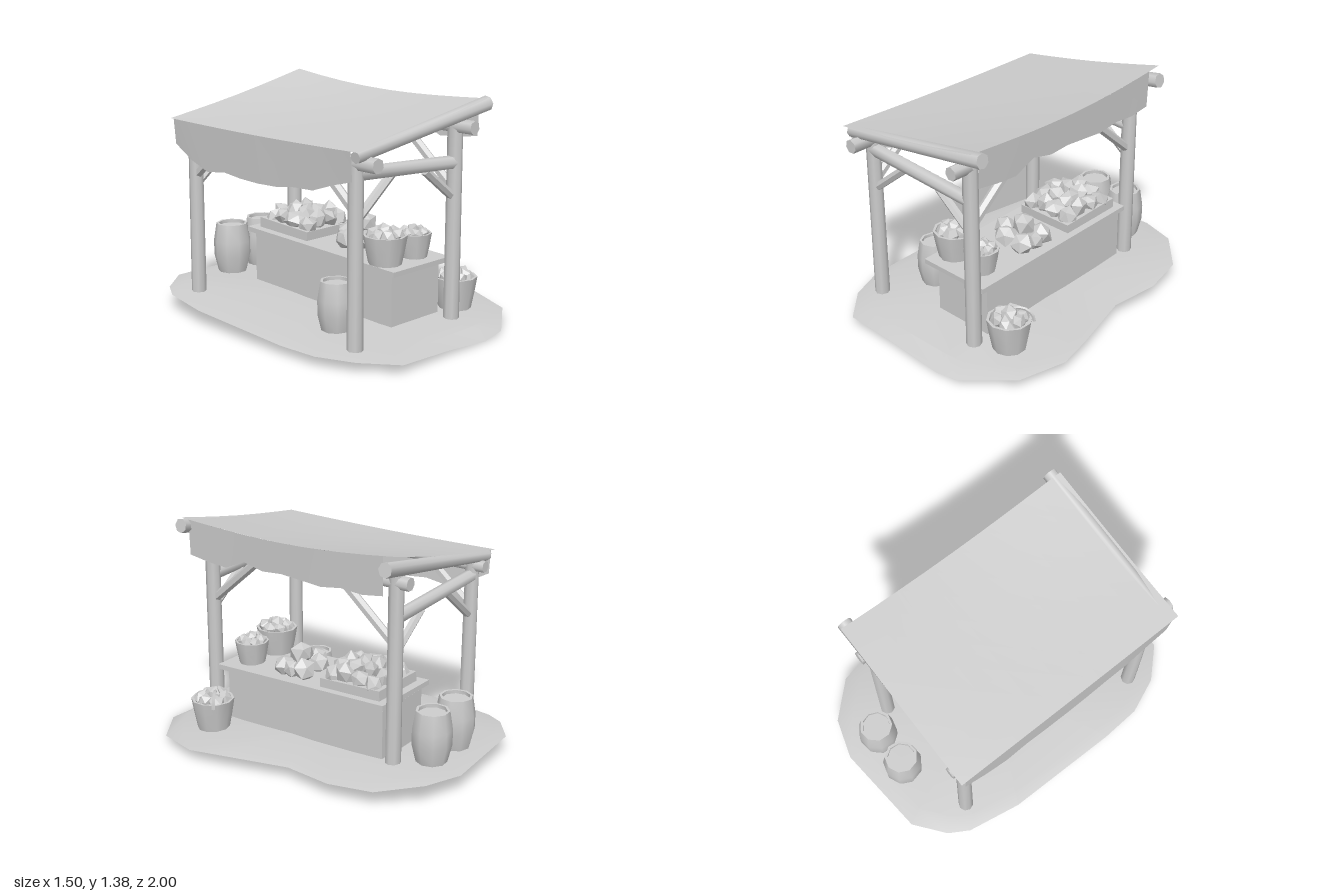
import * as THREE from 'three';
import { toCreasedNormals, mergeVertices } from 'three/addons/utils/BufferGeometryUtils.js';

export function createModel() {
  const model = new THREE.Group();
  model.name = 'marketStall';
  const grey = new THREE.MeshStandardMaterial({ color: 0xcccccc, side: THREE.DoubleSide });
  grey.name = 'plainGrey';

  let seed = 7;
  const rand = () => (seed = (seed * 16807) % 2147483647) / 2147483647;
  const V = (x, y, z) => new THREE.Vector3(x, y, z);

  const add = (name, geo, parent = model, crease = 0.6) => {
    const mesh = new THREE.Mesh(toCreasedNormals(geo, crease), grey);
    mesh.name = name;
    parent.add(mesh);
    return mesh;
  };

  // Rough round timber between two points
  const beam = (name, a, b, r0, r1 = r0, sides = 7) => {
    const dir = b.clone().sub(a);
    const mesh = add(name, new THREE.CylinderGeometry(r1, r0, dir.length(), sides, 1), model, 1);
    mesh.position.copy(a).add(b).multiplyScalar(0.5);
    mesh.quaternion.setFromUnitVectors(V(0, 1, 0), dir.normalize());
    return mesh;
  };

  // Surface from a grid of points given by a rule
  const sheet = (nu, nv, rule) => {
    const geo = new THREE.PlaneGeometry(1, 1, nu, nv);
    const p = geo.attributes.position;
    for (let i = 0; i < p.count; i++) {
      const [x, y, z] = rule(p.getX(i) + 0.5, 0.5 - p.getY(i));
      p.setXYZ(i, x, y, z);
    }
    return geo;
  };

  // Ground: rim, raised inner ring and flat underside
  const rim = [
    [-0.44, 0.12, -0.96], [0.14, 0.11, -1], [0.38, 0.12, -0.92], [0.58, 0.1, -0.71], [0.635, 0.09, -0.44],
    [0.595, 0.08, -0.13], [0.71, 0.08, 0.28], [0.75, 0.07, 0.49], [0.66, 0.05, 0.77], [0.39, 0.02, 0.97],
    [0.23, 0, 0.985], [-0.1, 0.03, 0.99], [-0.48, 0.05, 1], [-0.65, 0.06, 0.82], [-0.74, 0.06, 0.6],
    [-0.755, 0.06, 0.35], [-0.75, 0.09, -0.37], [-0.69, 0.1, -0.7], [-0.62, 0.11, -0.82]];
  const n = rim.length;
  const pts = [...rim];
  rim.forEach(([x, y, z]) => pts.push([x * 0.9, Math.max(y + 0.015, 0.09 - 0.025 * z), z * 0.9]));
  pts.push([-0.05, 0.1, 0], [0, 0.055, 0]);
  const faces = [];
  for (let i = 0; i < n; i++) {
    const j = (i + 1) % n;
    faces.push(i, n + j, j, i, n + i, n + j, n + i, 2 * n, n + j, i, j, 2 * n + 1);
  }
  const ground = new THREE.BufferGeometry();
  ground.setAttribute('position', new THREE.Float32BufferAttribute(pts.flat(), 3));
  ground.setIndex(faces);
  add('ground', ground, model, 0.5);

  // Posts, cross beams, braces and rafters on the front and back frames
  const frames = [0.71, -0.62];
  const lowX = -0.545, highX = 0.252;
  for (const z of frames) {
    const side = z > 0 ? 'front' : 'back';
    const inward = z > 0 ? -1 : 1;
    beam(side + 'LowPost', V(lowX, 0.07, z), V(lowX, 1.13, z), 0.045, 0.042, 8);
    beam(side + 'HighPost', V(highX, 0.06, z), V(highX, 1.25, z), 0.046, 0.044, 8);
    beam(side + 'CrossBeam', V(lowX, 1.035, z), V(highX, 0.99, z), 0.04);
    beam(side + 'LowBrace', V(-0.52, 0.8, z), V(-0.27, 1.0, z), 0.026, 0.026, 6);
    beam(side + 'HighBrace', V(0.23, 0.8, z), V(0.0, 0.975, z), 0.026, 0.026, 6);
    for (const x of [lowX, highX]) {
      beam(side + 'LongBrace', V(x, 0.83, z), V(x, 1.12, z + inward * 0.34), 0.028, 0.028, 6);
    }
    const rz = z > 0 ? 0.79 : -0.665;
    beam(side + 'Rafter', V(-0.63, 1.145, rz), V(0.43, 1.315, rz), 0.034, 0.044);
  }
  beam('middleRafter', V(-0.62, 1.12, 0.06), V(0.36, 1.27, 0.06), 0.03);
  beam('lowPurlin', V(lowX, 1.1, 0.87), V(lowX, 1.1, -0.71), 0.042, 0.036);
  beam('highPurlin', V(highX, 1.2, 0.85), V(highX, 1.2, -0.71), 0.04);

  // Canvas roof with hanging flaps
  const roofZ = (v) => -0.71 + 1.54 * v;
  const roofY = (u, v) => 1.18 + u * (0.17 + 0.035 * (1 - v) ** 3)
    - 0.03 * Math.sin(Math.PI * v) * (0.3 + 0.7 * u) - 0.012 * Math.sin(Math.PI * u);
  add('canvasRoof', sheet(6, 8, (u, v) => [-0.655 + 1.04 * u, roofY(u, v), roofZ(v)]), model, 1);
  const flap = (name, u0, x, drift, z0, z1, drops) => {
    const k = drops.length - 1;
    add(name, sheet(k, 1, (u, v) => {
      const z = z0 + (z1 - z0) * u;
      const top = roofY(u0, (z + 0.71) / 1.54);
      return [x + drift * v, v > 0.5 ? drops[Math.round(u * k)] : top, z];
    }), model, 1);
  };
  flap('highFlap', 1, 0.385, -0.008, 0.77, -0.62,
    [1.13, 1.11, 1.1, 1.16, 1.13, 1.14, 1.13, 1.12, 1.14, 1.13, 1.15]);
  flap('lowFlap', 0, -0.655, 0.013, 0.78, -0.68,
    [1.02, 0.98, 0.93, 0.925, 0.905, 0.9, 0.905, 0.92, 0.9, 0.95, 1.03]);

  // Counter with a slightly tilted top
  const counter = new THREE.BoxGeometry(0.4, 0.34, 1.15);
  counter.translate(0.055, 0.25, 0.03);
  add('counter', counter);
  const top = add('counterTop', new THREE.BoxGeometry(0.48, 0.03, 1.23));
  top.position.set(0.045, 0.43, 0.05);
  top.rotation.x = 0.035;

  // Faceted lump of produce
  const lump = (parent, x, y, z, r, sx = 1, sy = 1, sz = 1) => {
    let geo = new THREE.IcosahedronGeometry(r, 0);
    geo.deleteAttribute('normal');
    geo.deleteAttribute('uv');
    geo = mergeVertices(geo, r * 0.01);
    const p = geo.attributes.position;
    for (let i = 0; i < p.count; i++) {
      const s = 0.8 + 0.35 * rand();
      p.setXYZ(i, p.getX(i) * s, p.getY(i) * s, p.getZ(i) * s);
    }
    const mesh = add('produce', geo, parent, 0.2);
    mesh.position.set(x, y, z);
    mesh.scale.set(sx, sy, sz);
    mesh.rotation.set(rand() * 2, rand() * 6, rand() * 2);
  };

  // Flared basket filled with produce
  const basket = (name, x, y, z, r, h) => {
    const g = new THREE.Group();
    g.name = name;
    g.position.set(x, y, z);
    model.add(g);
    const profile = [[0, 0], [r * 0.74, 0], [r * 0.88, h * 0.5], [r, h], [r * 0.88, h], [r * 0.85, h * 0.8], [0, h * 0.8]];
    add('basketBody', new THREE.LatheGeometry(profile.map(([a, b]) => new THREE.Vector2(a, b)), 10), g, 0.75);
    for (let i = 0; i < 6; i++) {
      const a = i * 1.05;
      lump(g, Math.cos(a) * r * 0.52, h * 0.98, Math.sin(a) * r * 0.52, r * 0.4, 1, 0.9, 1);
    }
    lump(g, 0, h * 1.1, 0, r * 0.42);
    return g;
  };
  basket('largeCounterBasket', -0.1, 0.42, 0.51, 0.128, 0.175);
  basket('smallCounterBasket', 0.13, 0.42, 0.52, 0.105, 0.15);
  const floorBasket = basket('floorBasket', 0.42, 0.07, 0.595, 0.132, 0.195);
  const handle = add('basketHandle', new THREE.TorusGeometry(0.08, 0.01, 5, 8, Math.PI), floorBasket, 1);
  handle.position.set(0.035, 0.175, -0.05);
  handle.rotation.y = 0.6;

  // Loose produce in the middle of the counter
  for (const [x, y, z, r] of [[0.03, 0.49, 0.22, 0.07], [0.17, 0.49, 0.23, 0.07], [0.04, 0.5, 0.07, 0.07],
    [0.18, 0.495, 0.08, 0.07], [0.1, 0.57, 0.15, 0.075], [0.19, 0.49, 0.15, 0.06], [-0.05, 0.49, 0.14, 0.065]]) {
    lump(model, x, y, z, r);
  }

  // Shallow crate with heaped, angular goods
  const crate = add('crate', new THREE.BoxGeometry(0.38, 0.06, 0.42));
  crate.position.set(0.05, 0.485, -0.3);
  crate.rotation.x = 0.05;
  for (let i = 0; i < 4; i++) {
    for (let j = 0; j < 4; j++) {
      const inner = (i % 3 ? 1 : 0) + (j % 3 ? 1 : 0);
      lump(model, -0.085 + i * 0.09, 0.52 + inner * 0.024, -0.445 + j * 0.1, 0.07, 1.1, 0.75, 0.9);
    }
  }

  // Barrels with recessed tops
  const barrelProfile = [[0, 0], [0.088, 0], [0.112, 0.1], [0.113, 0.19], [0.095, 0.3], [0.08, 0.3], [0.08, 0.28], [0, 0.28]]
    .map(([a, b]) => new THREE.Vector2(a, b));
  [[-0.39, 0.08, 0.41, 0.96], [-0.14, 0.13, -0.785, 1.04], [0.11, 0.13, -0.785, 1.04]].forEach(([x, y, z, s], i) => {
    const barrel = add('barrel', new THREE.LatheGeometry(barrelProfile, 9), model, 0.75);
    barrel.position.set(x, y, z);
    barrel.scale.setScalar(s);
    barrel.rotation.y = i * 0.4;
  });

  return model;
}
